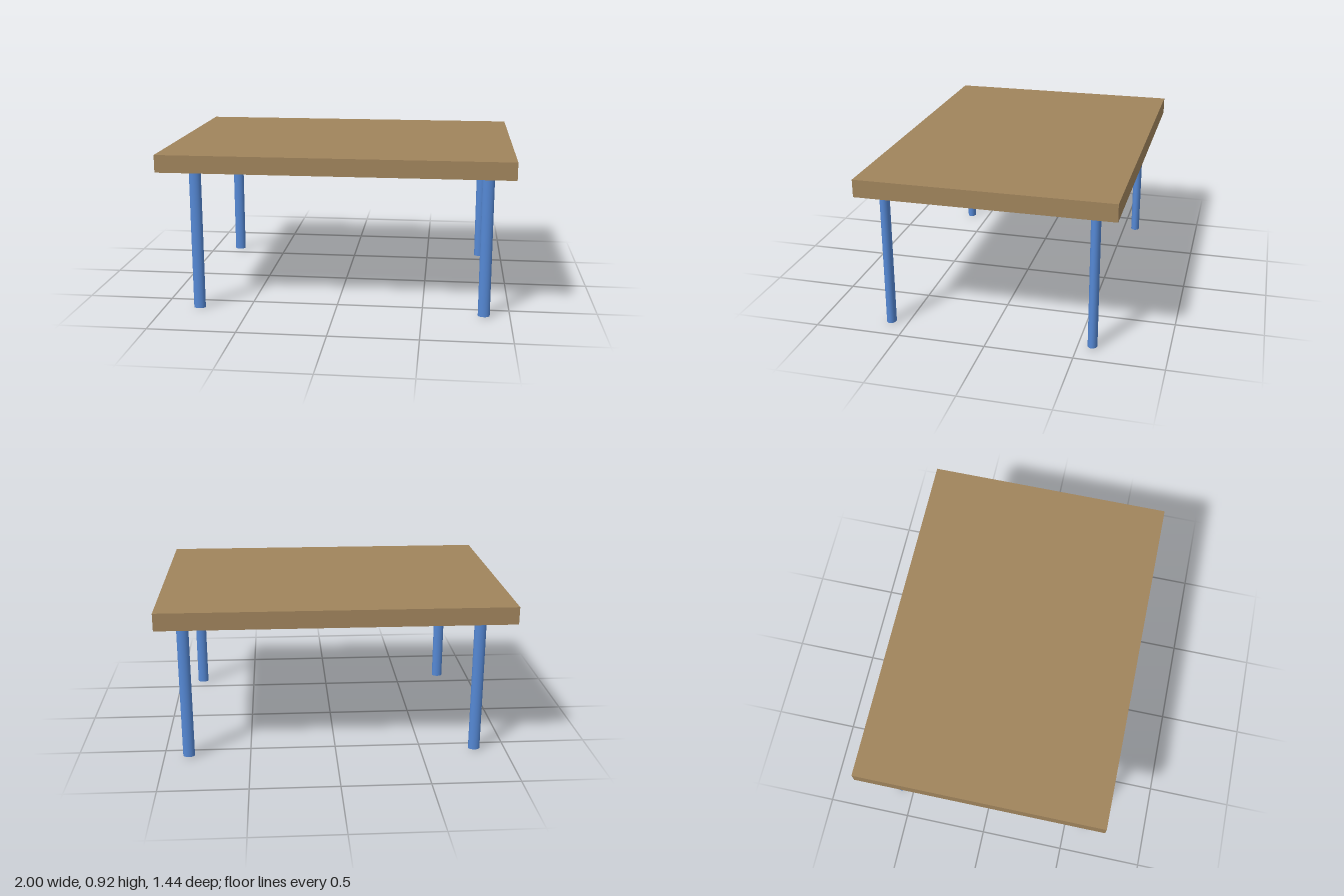
import * as THREE from 'three';

export function createModel() {
  const model = new THREE.Group();
  const wood = new THREE.MeshStandardMaterial({ color: 0xa0845c });
  wood.name = 'tan wood';
  const blue = new THREE.MeshStandardMaterial({ color: 0x5588d4 });
  blue.name = 'blue paint';

  // thick slab
  const bottom = 0.818, top = 0.918;
  const slab = new THREE.Mesh(new THREE.BoxGeometry(2, top - bottom, 1.436), wood);
  slab.name = 'tableTop';
  slab.position.y = (bottom + top) / 2;
  model.add(slab);

  // slightly oval legs: name, x, z, height of the foot
  const legs = [
    ['frontRightLeg', -0.796, 0.622, 0],
    ['frontLeftLeg', 0.852, 0.6, 0.003],
    ['backRightLeg', -0.817, -0.58, 0.008],
    ['backLeftLeg', 0.857, -0.582, 0.008],
  ];
  for (const [name, x, z, foot] of legs) {
    const height = bottom - foot;
    const geometry = new THREE.CylinderGeometry(1, 1, height, 24).scale(0.034, 1, 0.027);
    const leg = new THREE.Mesh(geometry, blue);
    leg.name = name;
    leg.position.set(x, foot + height / 2, z);
    model.add(leg);
  }

  return model;
}
